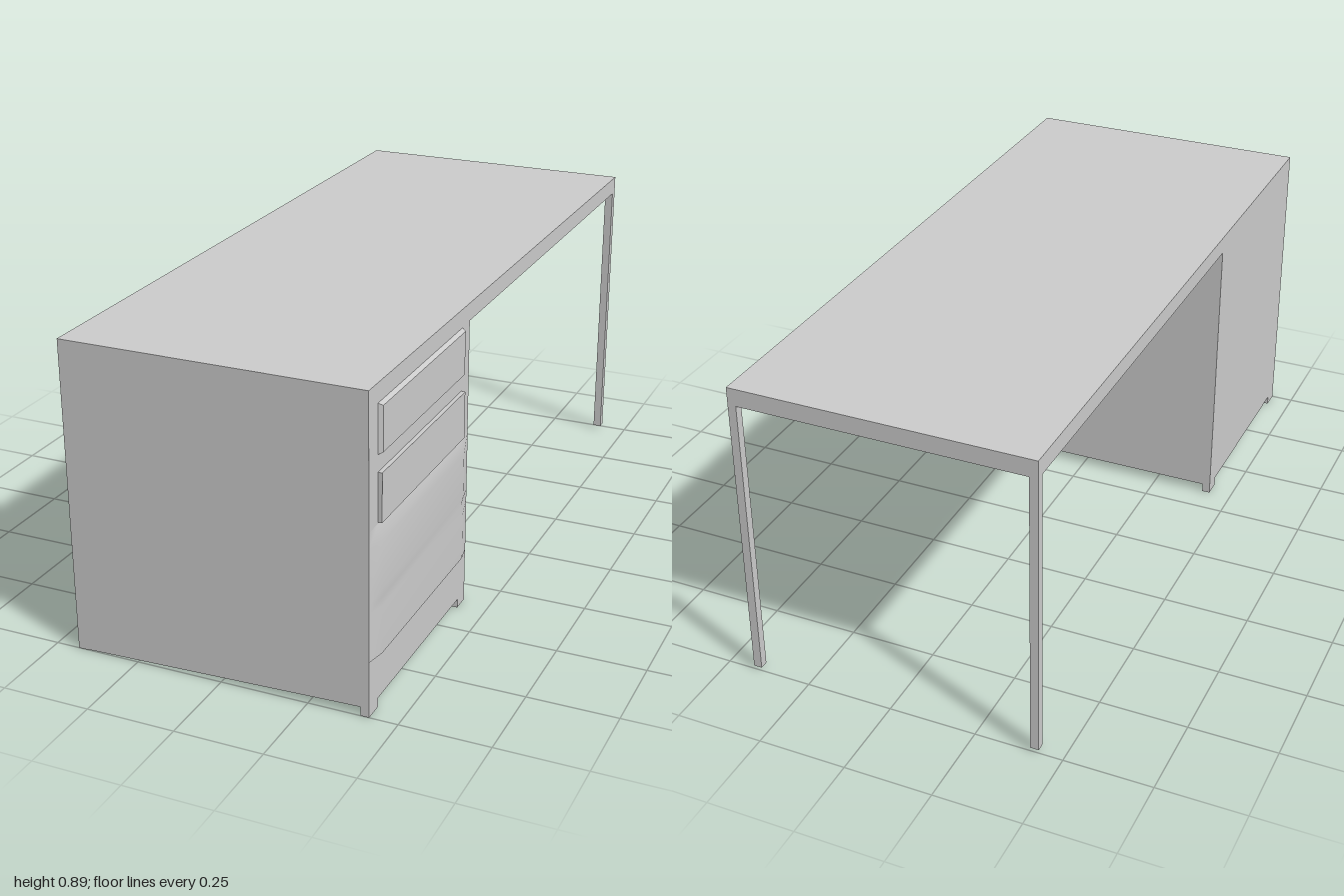
import * as THREE from 'three';

const material = new THREE.MeshStandardMaterial({ color: 0xcccccc, flatShading: true });
const smooth = new THREE.MeshStandardMaterial({ color: 0xcccccc, side: THREE.DoubleSide });
const L = -0.4325, R = 0.421, OUT = 0.4325; // body sides and drawer face

export function createModel() {
  const group = new THREE.Group();

  const add = (name, geometry, mat = material) => {
    const mesh = new THREE.Mesh(geometry, mat);
    mesh.name = name;
    group.add(mesh);
    return mesh;
  };
  // box given by its extents
  const box = (name, x0, x1, y0, y1, z0, z1) =>
    add(name, new THREE.BoxGeometry(x1 - x0, y1 - y0, z1 - z0))
      .position.set((x0 + x1) / 2, (y0 + y1) / 2, (z0 + z1) / 2);

  box('deskTop', L, R, 0.84, 0.89, -1, 0.336);
  box('cabinet', L, R, 0.026, 0.89, 0.336, 1);

  // slim legs and cabinet feet, mirrored on both sides
  for (const [x0, x1] of [[L, L + 0.024], [R - 0.024, R]]) {
    box('leg', x0, x1, 0.01, 0.84, -1, -0.976);
    box('foot', x0, x1, 0, 0.026, 0.336, 0.388);
    box('foot', x0, x1, 0, 0.026, 0.945, 1);
  }

  // tapering lower edge of the front panel
  const apron = new THREE.Shape([[L, 0], [-0.38, 0.002], [0.4, 0.026], [L, 0.026]]
    .map(([x, y]) => new THREE.Vector2(x, y)));
  add('frontApron', new THREE.ShapeGeometry(apron), smooth).position.z = 1;

  // raised upper drawer fronts, the top one with bevelled edges
  [[0.704, 0.838, 0.006], [0.524, 0.658, 0]].forEach(([y0, y1, bevel]) => {
    const g = new THREE.BoxGeometry(OUT - R, y1 - y0, 0.556);
    const p = g.attributes.position;
    for (let i = 0; i < p.count; i++) {
      if (p.getX(i) < 0) continue;
      p.setY(i, p.getY(i) - Math.sign(p.getY(i)) * bevel);
      p.setZ(i, p.getZ(i) - Math.sign(p.getZ(i)) * bevel);
    }
    g.computeVertexNormals();
    add('upperDrawer', g).position.set((R + OUT) / 2, (y0 + y1) / 2, 0.668);
  });

  // lower drawers share one swelling front that fades into the cabinet
  const rows = [0.16, 0.295, 0.32, 0.345, 0.475, 0.52];
  const cols = [1, 0.945, 0.39, 0.336];
  const depth = (i, j) => {
    if (i === rows.length - 1 || j === 0 || j === cols.length - 1) return R + 0.0005;
    return i === 2 && j === 2 ? 0.427 : OUT;
  };
  const patch = (name, rowCount, colCount, point) => {
    const pos = [], index = [];
    for (let i = 0; i < rowCount; i++) {
      for (let j = 0; j < colCount; j++) {
        pos.push(...point(i, j));
        if (i === 0 || j === 0) continue;
        const d = i * colCount + j, c = d - 1, b = d - colCount, a = b - 1;
        index.push(a, b, d, a, d, c);
      }
    }
    const g = new THREE.BufferGeometry();
    g.setAttribute('position', new THREE.Float32BufferAttribute(pos, 3));
    g.setIndex(index);
    g.computeVertexNormals();
    add(name, g, smooth);
  };
  patch('lowerDrawers', rows.length, cols.length, (i, j) => [depth(i, j), rows[i], cols[j]]);
  patch('lowerDrawerLedge', 2, cols.length, (i, j) => [i ? depth(0, j) : R, rows[0], cols[j]]);

  return group;
}
